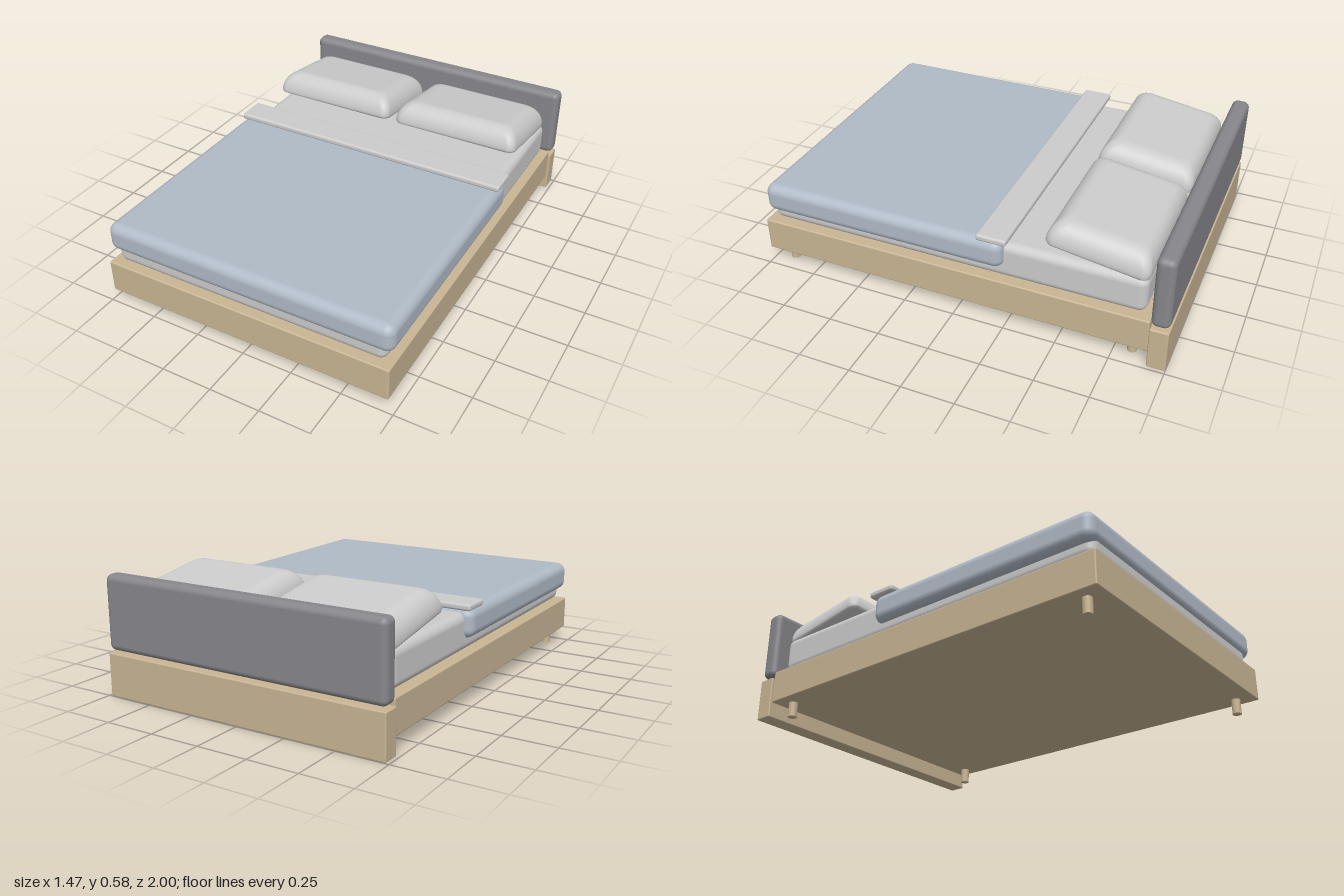
import * as THREE from 'three';
import { RoundedBoxGeometry } from 'three/addons/geometries/RoundedBoxGeometry.js';

const mat = (color) => new THREE.MeshStandardMaterial({ color });

// Outline of a rounded rectangle in the xz plane
function roundedRing(hx, hz, r, y, steps = 6) {
  const pts = [];
  const corners = [[1, 1], [-1, 1], [-1, -1], [1, -1]];
  corners.forEach(([sx, sz], q) => {
    for (let i = 0; i <= steps; i++) {
      const a = (q + i / steps) * Math.PI / 2;
      pts.push([sx * (hx - r) + r * Math.cos(a), y, sz * (hz - r) + r * Math.sin(a)]);
    }
  });
  return pts;
}

// Domed cushion: flat base, rounded shoulders, flat top
function pillowGeometry(hx, hz, height) {
  const rings = [
    roundedRing(hx - 0.012, hz - 0.012, 0.035, 0),
    roundedRing(hx - 0.003, hz - 0.003, 0.04, 0.005),
  ];
  const steps = 10, lip = 0.015;
  for (let i = 0; i <= steps; i++) {
    const a = i / steps * Math.PI / 2;
    const inset = 1 - Math.cos(a);
    rings.push(roundedRing(hx - 0.09 * inset, hz - 0.08 * inset, 0.04,
      lip + (height - lip) * Math.sin(a)));
  }
  const n = rings[0].length;
  const positions = rings.flat(2);
  const index = [];
  for (let k = 0; k < rings.length - 1; k++) {
    for (let i = 0; i < n; i++) {
      const j = (i + 1) % n, a = k * n, b = a + n;
      index.push(a + i, b + i, a + j, a + j, b + i, b + j);
    }
  }
  // Caps with their own vertices so they stay flat
  [[rings[0], 0, false], [rings[rings.length - 1], height, true]].forEach(([ring, y, up]) => {
    const start = positions.length / 3;
    positions.push(0, y, 0, ...ring.flat());
    for (let i = 0; i < n; i++) {
      const p = start + 1 + i, q = start + 1 + (i + 1) % n;
      index.push(start, up ? q : p, up ? p : q);
    }
  });
  const g = new THREE.BufferGeometry();
  g.setAttribute('position', new THREE.Float32BufferAttribute(positions, 3));
  g.setIndex(index);
  g.computeVertexNormals();
  return g;
}

export function createModel() {
  const bed = new THREE.Group();
  bed.name = 'bed';
  const wood = mat(0xc8b594);
  const upholstery = mat(0x87868b);
  const linen = mat(0xdededa);
  const blue = mat(0xb0bac6);

  // Rounded block centred on x, given by its y and z limits
  const block = (name, width, y0, y1, z0, z1, radius, material) => {
    const m = new THREE.Mesh(new RoundedBoxGeometry(width, y1 - y0, z1 - z0, 5, radius), material);
    m.position.set(0, (y0 + y1) / 2, (z0 + z1) / 2);
    m.name = name;
    bed.add(m);
  };

  // Frame and headboard
  block('frame', 1.452, 0.075, 0.24, -0.912, 1, 0.007, wood);
  block('headboardBase', 1.47, 0, 0.21, -1, -0.914, 0.006, wood);
  block('headboard', 1.47, 0.222, 0.58, -1, -0.914, 0.03, upholstery);

  // Bedding
  block('mattress', 1.385, 0.24, 0.422, -0.882, 0.97, 0.04, linen);
  block('duvet', 1.458, 0.3, 0.442, -0.234, 0.985, 0.045, blue);
  block('foldedSheet', 1.458, 0.438, 0.47, -0.257, -0.113, 0.012, linen);

  // Pillows, tilted up towards the foot of the bed
  const pillow = pillowGeometry(0.332, 0.238, 0.12);
  for (const side of [-1, 1]) {
    const m = new THREE.Mesh(pillow, linen);
    m.name = side > 0 ? 'leftPillow' : 'rightPillow';
    m.position.set(side * 0.352, 0.437, -0.645);
    m.rotation.x = -0.155;
    bed.add(m);
  }

  // Legs
  const leg = new THREE.CylinderGeometry(0.022, 0.022, 0.085, 20);
  for (const x of [-0.655, 0.655]) {
    for (const z of [0.91, -0.83]) {
      const m = new THREE.Mesh(leg, wood);
      m.name = (z > 0 ? 'front' : 'back') + (x > 0 ? 'Left' : 'Right') + 'Leg';
      m.position.set(x, 0.0425, z);
      bed.add(m);
    }
  }
  return bed;
}
